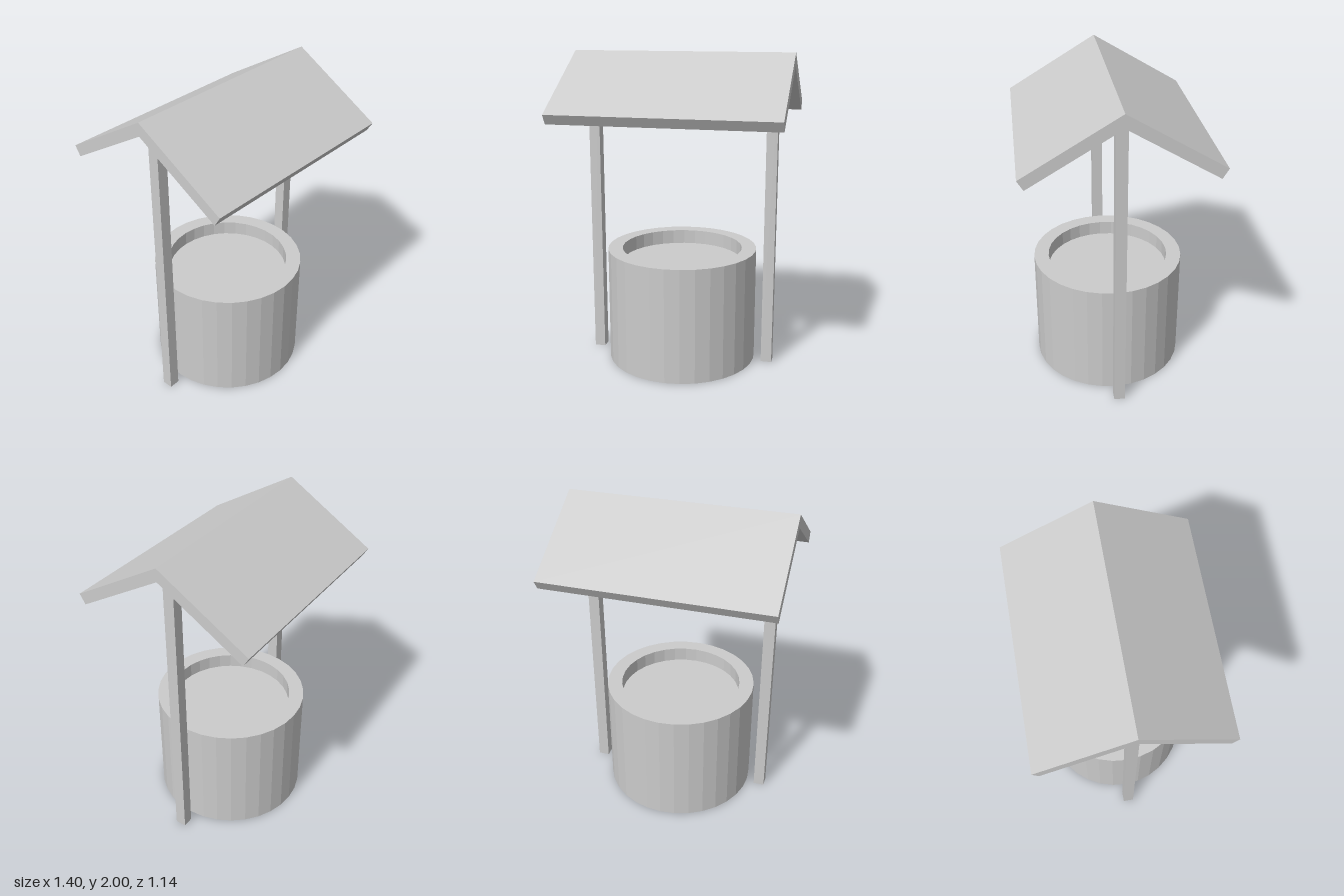
import * as THREE from 'three';

const material = new THREE.MeshStandardMaterial({ color: 0xcccccc, flatShading: true });

function addPart(group, name, geometry) {
  const mesh = new THREE.Mesh(geometry, material);
  mesh.name = name;
  group.add(mesh);
  return mesh;
}

export function createModel() {
  const well = new THREE.Group();
  well.name = 'well';

  // Round wall with a solid base, a flat rim and a shallow recess
  const wallProfile = [
    [0, 0], [0.484, 0], [0.484, 0.743], [0.39, 0.743], [0.39, 0.65], [0, 0.65],
  ].map(([r, y]) => new THREE.Vector2(r, y));
  addPart(well, 'wall', new THREE.LatheGeometry(wallProfile, 32));

  // Two square posts, reaching just into the ridge of the roof
  const postHeight = 1.94, postWidth = 0.069;
  for (const [name, side] of [['leftPost', 1], ['rightPost', -1]]) {
    const post = addPart(well, name, new THREE.BoxGeometry(postWidth, postHeight, postWidth));
    post.position.set(side * 0.574, postHeight / 2, 0);
  }

  // Gable roof: a chevron section with square-cut eaves, extruded along x
  const roofLength = 1.396;
  const section = new THREE.Shape([
    [0, 2], [-0.571, 1.657], [-0.535, 1.597], [0, 1.918], [0.535, 1.597], [0.571, 1.657],
  ].map(([z, y]) => new THREE.Vector2(z, y)));
  const roof = new THREE.ExtrudeGeometry(section, { depth: roofLength, bevelEnabled: false });
  roof.translate(0, 0, -roofLength / 2).rotateY(Math.PI / 2);
  addPart(well, 'roof', roof);

  return well;
}
